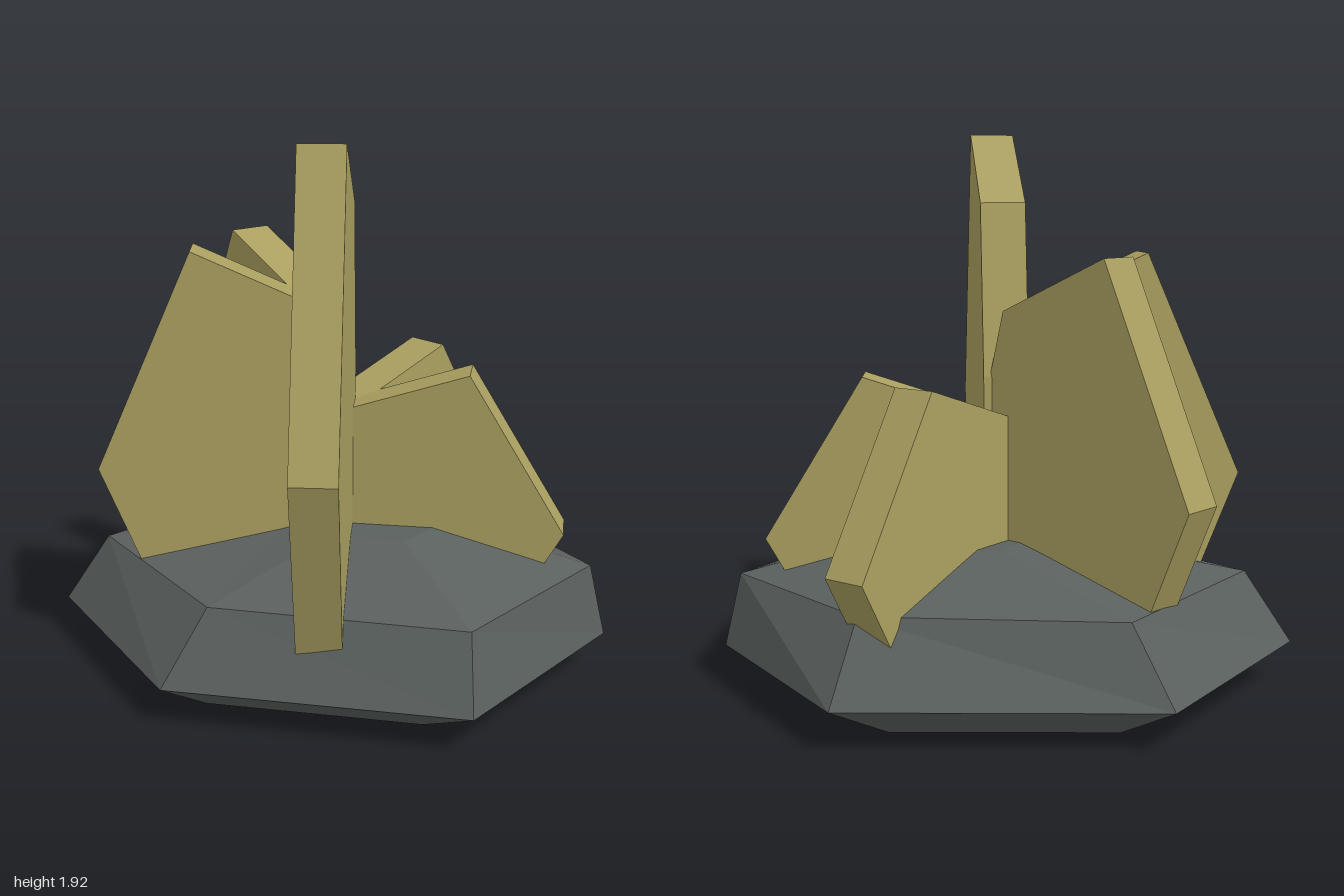
import * as THREE from 'three';

const stone = new THREE.MeshStandardMaterial({ color: 0x5a605e, flatShading: true });
stone.name = 'darkStone';
const ochre = new THREE.MeshStandardMaterial({ color: 0xaa9f60, flatShading: true });
ochre.name = 'ochreBlade';

// Hexagonal rings [x, z] of the rock, from the ground up
const rings = [
  { y: 0, p: [[-0.69, -0.06], [-0.35, -0.57], [0.4, -0.55], [0.69, -0.06], [0.4, 0.45], [-0.35, 0.42]] },
  { y: 0.14, p: [[-1, -0.06], [-0.5, -0.78], [0.57, -0.75], [1, -0.06], [0.58, 0.65], [-0.46, 0.61]] },
  { y: 0.4, p: [[-0.83, -0.06], [-0.37, -0.68], [0.49, -0.6], [0.94, -0.06], [0.56, 0.55], [-0.32, 0.5]] },
  { y: 0.54, p: [[-0.12, -0.06], [0.03, -0.31], [0.3, -0.29], [0.43, -0.06], [0.3, 0.17], [0.03, 0.15]] },
];

function rockGeometry() {
  const pos = [];
  const put = (ring, i) => pos.push(ring.p[i][0], ring.y, ring.p[i][1]);
  for (let k = 0; k < rings.length - 1; k++) {
    const lo = rings[k], up = rings[k + 1];
    for (let i = 0; i < 6; i++) {
      const j = (i + 1) % 6;
      put(lo, i); put(up, i); put(up, j);
      put(lo, i); put(up, j); put(lo, j);
    }
  }
  const bottom = rings[0], top = rings[rings.length - 1];
  for (let i = 1; i < 5; i++) {
    put(bottom, 0); put(bottom, i); put(bottom, i + 1);
    put(top, 0); put(top, i + 1); put(top, i);
  }
  const g = new THREE.BufferGeometry();
  g.setAttribute('position', new THREE.Float32BufferAttribute(pos, 3));
  g.computeVertexNormals();
  return g;
}

// Blade outline: radius from the centre, height as a share of the tip-to-shoulder rise
const outline = [[-0.06, -0.7], [0.6, -0.71], [0.825, 0], [0.485, 1], [0.06, 0.755], [-0.06, 0.16]];
const thickness = 0.155;

function bladeGeometry(shoulder, tip) {
  const pts = outline.map(([r, u]) => new THREE.Vector2(r, shoulder + u * (tip - shoulder)));
  const g = new THREE.ExtrudeGeometry(new THREE.Shape(pts), { depth: thickness, bevelEnabled: false });
  return g.translate(0, 0, -thickness / 2);
}

// Each blade: horizontal direction, shoulder height, tip height
const blades = [
  { name: 'rightSideBlade', dir: [1, 0], shoulder: 0.54, tip: 1.1 },
  { name: 'frontBlade', dir: [0.082, 0.996], shoulder: 0.94, tip: 1.925 },
  { name: 'leftSideBlade', dir: [-0.986, 0.165], shoulder: 0.74, tip: 1.515 },
  { name: 'backLeftBlade', dir: [-0.74, -0.673], shoulder: 0.74, tip: 1.515 },
  { name: 'backRightBlade', dir: [0.613, -0.79], shoulder: 0.54, tip: 1.1 },
];
// Names follow the model's own sides: its left is +x
const ownSide = {
  rightSideBlade: 'leftBlade', leftSideBlade: 'rightBlade', frontBlade: 'frontBlade',
  backLeftBlade: 'backRightBlade', backRightBlade: 'backLeftBlade',
};

export function createModel() {
  const model = new THREE.Group();
  model.name = 'bladedRock';

  const rock = new THREE.Mesh(rockGeometry(), stone);
  rock.name = 'rockBase';
  model.add(rock);

  const fan = new THREE.Group();
  fan.name = 'bladeCluster';
  fan.position.set(0.015, 0, -0.055);
  for (const b of blades) {
    const mesh = new THREE.Mesh(bladeGeometry(b.shoulder, b.tip), ochre);
    mesh.name = ownSide[b.name];
    mesh.rotation.y = Math.atan2(-b.dir[1], b.dir[0]);
    fan.add(mesh);
  }
  model.add(fan);
  return model;
}
